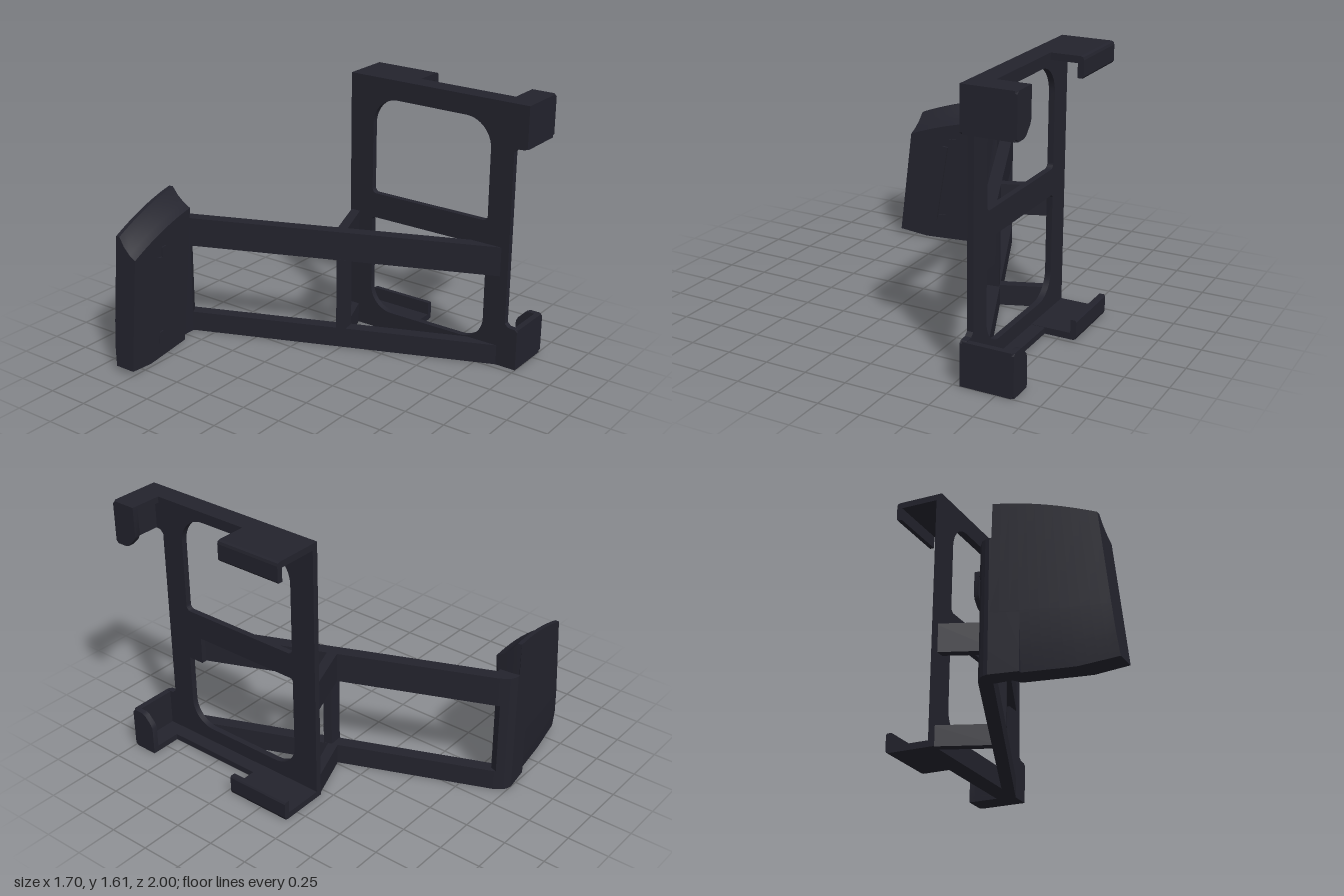
import * as THREE from 'three';
import { toCreasedNormals } from 'three/addons/utils/BufferGeometryUtils.js';

const H = 1.614; // overall height
const lerp = THREE.MathUtils.lerp;

export function createModel() {
  const model = new THREE.Group();
  const plastic = new THREE.MeshStandardMaterial({ color: 0x23232d });

  const add = (name, geo) => {
    const mesh = new THREE.Mesh(geo, plastic);
    mesh.name = name;
    model.add(mesh);
    return mesh;
  };
  const box = (name, x0, x1, y0, y1, z0, z1) => {
    const g = new THREE.BoxGeometry(x1 - x0, y1 - y0, z1 - z0);
    return add(name, g.translate((x0 + x1) / 2, (y0 + y1) / 2, (z0 + z1) / 2));
  };
  const extrude = (shape, depth) =>
    new THREE.ExtrudeGeometry(shape, { depth, bevelEnabled: false, curveSegments: 8 });
  const polygon = (pts) => new THREE.Shape(pts.map(([a, b]) => new THREE.Vector2(a, b)));

  // Plan outline [x, z] raised from y0 to y1
  const prismY = (name, pts, y0, y1) =>
    add(name, extrude(polygon(pts.map(([x, z]) => [x, -z])), y1 - y0).rotateX(-Math.PI / 2).translate(0, y0, 0));
  // Side outline (shape x = -z) extruded from x0 to x1
  const prismX = (name, shape, x0, x1) =>
    add(name, toCreasedNormals(extrude(shape, x1 - x0).rotateY(Math.PI / 2).translate(x0, 0, 0), 0.6));

  // Opening with separate radii for its lower and upper corners
  const opening = (a0, a1, b0, b1, rl, ru) => {
    const p = new THREE.Path();
    p.moveTo(a0 + rl, b0).lineTo(a1 - rl, b0);
    p.absarc(a1 - rl, b0 + rl, rl, -Math.PI / 2, 0);
    p.lineTo(a1, b1 - ru).absarc(a1 - ru, b1 - ru, ru, 0, Math.PI / 2);
    p.lineTo(a0 + ru, b1).absarc(a0 + ru, b1 - ru, ru, Math.PI / 2, Math.PI);
    p.lineTo(a0, b0 + rl).absarc(a0 + rl, b0 + rl, rl, Math.PI, Math.PI * 1.5);
    return p;
  };

  // Upright frame plate with two windows
  const plate = polygon([
    [-0.985, 0], [0.175, 0], [0.19, 0.015], [0.19, H - 0.015], [0.175, H], [-0.985, H],
    [-1, H - 0.015], [-1, 1.37], [-0.985, 1.358], [-0.94, 1.355], [-0.918, 1.335],
    [-0.918, 0.28], [-0.94, 0.26], [-0.985, 0.257], [-1, 0.245], [-1, 0.015],
  ]);
  plate.holes.push(opening(-0.77, 0.03, 0.89, 1.495, 0.03, 0.17));
  plate.holes.push(opening(-0.77, 0.03, 0.125, 0.735, 0.15, 0.02));
  prismX('framePlate', plate, 0.54, 0.576);
  box('armSeat', 0.54, 0.576, 0.57, 0.74, 0.67, 0.78);

  // Retaining clips, mirrored top and bottom
  for (const top of [true, false]) {
    const side = top ? 'upper' : 'lower';
    const m = (y) => (top ? y : H - y);
    const range = (a, b) => [Math.min(m(a), m(b)), Math.max(m(a), m(b))];
    const hook = polygon([
      [0.54, m(H)], [0.83, m(H)], [0.845, m(H - 0.005)], [0.85, m(H - 0.02)], [0.85, m(1.505)],
      [0.843, m(1.495)], [0.815, m(1.495)], [0.815, m(1.575)], [0.54, m(1.575)],
    ]);
    add(side + 'RearClip', extrude(hook, 0.41).translate(0, 0, -0.19));
    const [f0, f1] = range(1.577, H);
    box(side + 'Flange', 0.54, 0.66, f0, f1, 0.2, 0.86);
    prismY(side + 'CornerCap', [[0.54, 0.845], [0.838, 0.845], [0.85, 0.855], [0.85, 0.985], [0.835, 1], [0.54, 1]], f0, f1);
    const [w0, w1] = range(1.36, H - 0.005);
    prismY(side + 'CornerWall', [[0.54, 0.965], [0.85, 0.965], [0.85, 0.985], [0.835, 1], [0.555, 1], [0.54, 0.985]], w0, w1);
    const lip = polygon([
      [-0.985, m(H)], [-0.845, m(H)], [-0.845, m(1.44)], [-0.857, m(1.415)], [-0.9, m(1.37)],
      [-0.925, m(1.36)], [-0.985, m(1.36)], [-1, m(1.375)], [-1, m(H - 0.015)],
    ]);
    prismX(side + 'CornerLip', lip, 0.815, 0.85);
  }

  // Diagonal arms and the short struts bracing them, at two levels
  const bend = [[-0.15, -0.98], [-0.175, -0.994], [-0.2, -1], [-0.36, -0.975], [-0.36, -0.88]];
  for (const [level, y0, y1] of [['lower', 0, 0.125], ['upper', 0.57, 0.75]]) {
    prismY(level + 'Arm', [[0.545, 0.68], [-0.115, -0.93], ...bend, [-0.175, -0.88], [0.545, 0.882]], y0, y1);
    prismY(level + 'Strut', [[0.21, -0.058], [0.56, -0.19], [0.56, -0.13], [0.24, -0.005]], y0, y1);
  }
  prismY('bracePost', [[0.17, -0.03], [0.25, -0.035], [0.267, 0.012], [0.192, 0.022]], 0.12, 0.575);
  prismY('mountPost', [[-0.122, -0.94], ...bend, [-0.175, -0.88], [-0.135, -0.9]], 0.12, 0.575);

  // Curved pad: lofted sections running from its inner to its outer edge
  const N = 12, pos = [], idx = [];
  let M = 0;
  for (let i = 0; i <= N; i++) {
    const s = i / N, t = 0.545 * s;
    const yt = 0.945 - 0.082 * t - 0.286 * t * t;
    const yb = 0.03 * Math.max(0, (s - 0.66) / 0.34);
    const loop = [
      [0.02, yb], [0.005, lerp(yb, yt, 0.15)], [0, lerp(yb, yt, 0.35)], [0, yt], [0.025, yt],
      [0.06, yt - 0.05], [0.105, yt - 0.09], [0.15, yt - 0.115], [0.15, yb],
    ];
    M = loop.length;
    for (const [off, y] of loop) {
      const inner = lerp(-0.2 - 0.015 * y, -0.31 + 0.134 * y, off / 0.15);
      const outer = -0.85 + 0.115 * (y - 0.03);
      const x = lerp(inner, outer, s);
      pos.push(x, y, -1 + 0.155 * (-0.2 - x) + off);
    }
  }
  for (let i = 0; i < N; i++) {
    for (let j = 0; j < M; j++) {
      const k = (j + 1) % M;
      const a = i * M + j, b = i * M + k, c = b + M, d = a + M;
      idx.push(a, d, c, a, c, b);
    }
  }
  for (let j = 1; j < M - 1; j++) idx.push(0, j, j + 1, N * M, N * M + j + 1, N * M + j);
  const pad = new THREE.BufferGeometry();
  pad.setAttribute('position', new THREE.Float32BufferAttribute(pos, 3));
  pad.setIndex(idx);
  add('pad', toCreasedNormals(pad.toNonIndexed(), 0.45));

  // Raised rib and small tabs on the pad's front face
  const onPad = (name, x, y, w, h, lean, d) => {
    const mesh = add(name, new THREE.BoxGeometry(w, h, d));
    mesh.position.set(x, y, -0.85 + 0.155 * (-0.2 - x));
    mesh.rotation.set(0, 0.154, lean);
  };
  onPad('padRib', -0.575, 0.385, 0.035, 0.51, -0.15, 0.03);
  onPad('padTab', -0.49, 0.655, 0.045, 0.07, 0, 0.016);
  onPad('padTab', -0.56, 0.13, 0.045, 0.07, 0, 0.016);
  return model;
}
